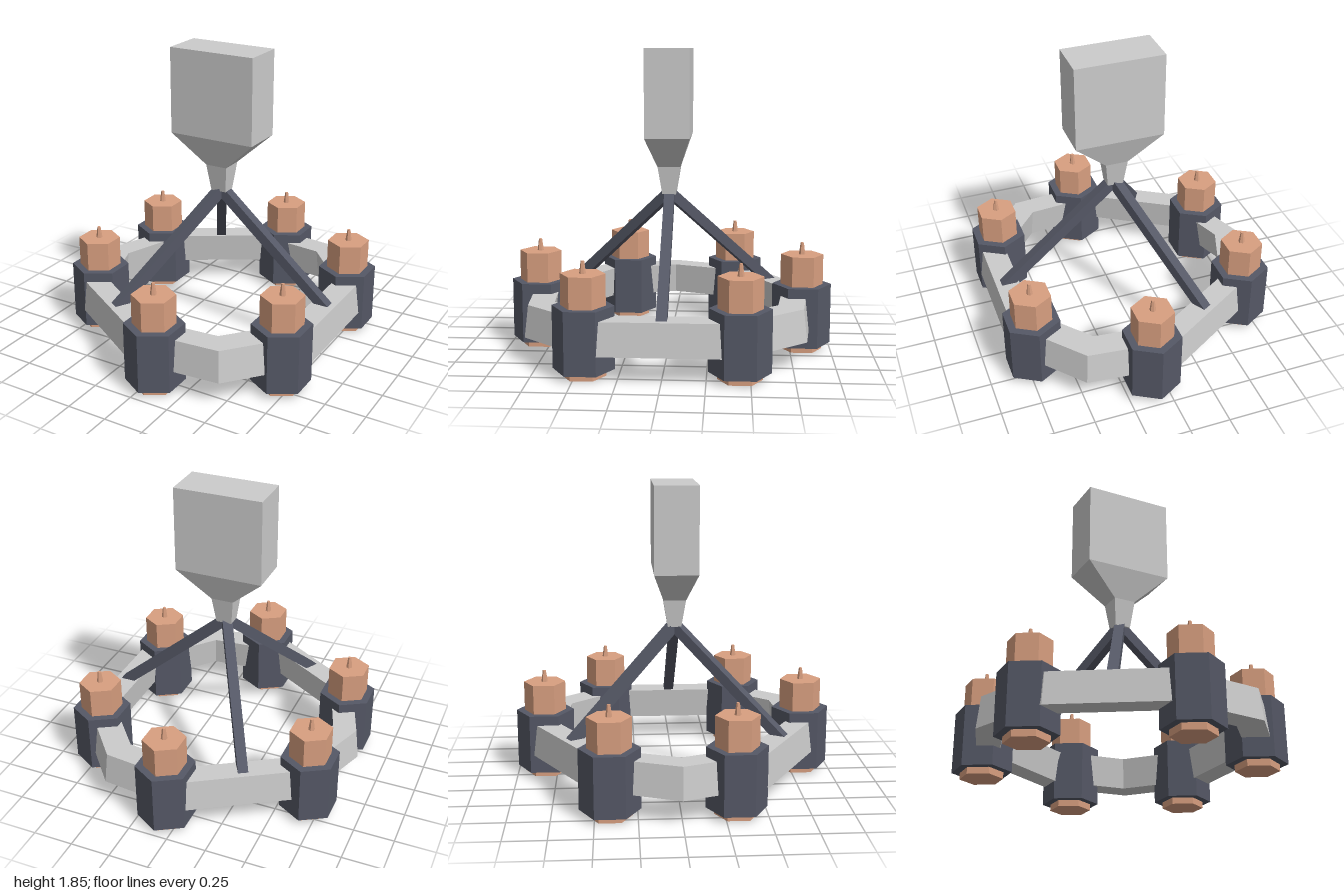
import * as THREE from 'three';

const grey = new THREE.MeshStandardMaterial({ color: 0xcccccc, flatShading: true });
const dark = new THREE.MeshStandardMaterial({ color: 0x555866, flatShading: true });
const wax = new THREE.MeshStandardMaterial({ color: 0xd89f80, flatShading: true });

function addMesh(parent, name, geometry, material, x = 0, y = 0, z = 0) {
  const mesh = new THREE.Mesh(geometry, material);
  mesh.name = name;
  mesh.position.set(x, y, z);
  parent.add(mesh);
  return mesh;
}

// Joins four-cornered sections into a solid; closed loops back to the first one.
function loft(sections, closed) {
  const pos = [];
  const quad = (a, b, c, d) => pos.push(...a, ...b, ...c, ...a, ...c, ...d);
  const n = sections.length;
  for (let i = 0; i < (closed ? n : n - 1); i++) {
    const s = sections[i], t = sections[(i + 1) % n];
    for (let j = 0; j < 4; j++) {
      const k = (j + 1) % 4;
      quad(s[j], s[k], t[k], t[j]);
    }
  }
  if (!closed) {
    const s = sections[0], t = sections[n - 1];
    quad(s[3], s[2], s[1], s[0]);
    quad(t[0], t[1], t[2], t[3]);
  }
  const geometry = new THREE.BufferGeometry();
  geometry.setAttribute('position', new THREE.Float32BufferAttribute(pos, 3));
  geometry.computeVertexNormals();
  return geometry;
}

export function createModel() {
  const model = new THREE.Group();
  model.name = 'candleRing';

  // Angular ring with outward-leaning walls
  const outline = [
    [0.845, 0.42], [0.49, 0.83], [-0.08, 0.88], [-0.69, 0.51], [-0.87, 0],
    [-0.68, -0.52], [-0.07, -0.89], [0.49, -0.83], [0.845, -0.42],
  ];
  const corners = [[1, 0.155], [0.975, 0.35], [0.8, 0.35], [0.825, 0.155]];
  const ringSections = outline.map(([x, z]) => corners.map(([k, y]) => [x * k, y, z * k]));
  addMesh(model, 'ring', loft(ringSections, true), grey);

  // Six hexagonal candles in holders
  const spots = [
    [0.08, -0.82], [0.71, -0.44], [0.69, 0.45], [0.05, 0.81], [-0.69, 0.32], [-0.68, -0.41],
  ];
  const holderGeo = new THREE.CylinderGeometry(0.18, 0.18, 0.37, 6);
  const candleGeo = new THREE.CylinderGeometry(0.13, 0.13, 0.595, 6);
  const wickGeo = new THREE.CylinderGeometry(0.01, 0.02, 0.075, 6);
  for (const [x, z] of spots) {
    const unit = new THREE.Group();
    unit.name = 'candleUnit';
    unit.position.set(x, 0, z);
    addMesh(unit, 'holder', holderGeo, dark, 0, 0.225, 0);
    addMesh(unit, 'candle', candleGeo, wax, 0, 0.2975, 0);
    addMesh(unit, 'wick', wickGeo, wax, 0, 0.63, 0);
    model.add(unit);
  }

  // Three sloping struts meeting under the hanger
  const apex = new THREE.Vector3(0.03, 0.965, 0);
  for (let i = 0; i < 3; i++) {
    const a = (i * Math.PI * 2) / 3;
    const foot = new THREE.Vector3(0.03 + 0.74 * Math.cos(a), 0.325, 0.74 * Math.sin(a));
    const strut = addMesh(model, 'strut',
      new THREE.BoxGeometry(0.062, 0.062, apex.distanceTo(foot)), dark);
    strut.position.copy(apex).add(foot).multiplyScalar(0.5);
    strut.lookAt(foot);
  }

  // Tapered hanger block: height, half width, half depth
  const levels = [[0.96, 0.05, 0.042], [1.13, 0.07, 0.07], [1.32, 0.277, 0.134], [1.85, 0.277, 0.134]];
  const blockSections = levels.map(([y, w, d]) => [[-w, y, d], [w, y, d], [w, y, -d], [-w, y, -d]]);
  addMesh(model, 'hangerBlock', loft(blockSections, false), grey, 0.031, 0, 0);

  return model;
}
